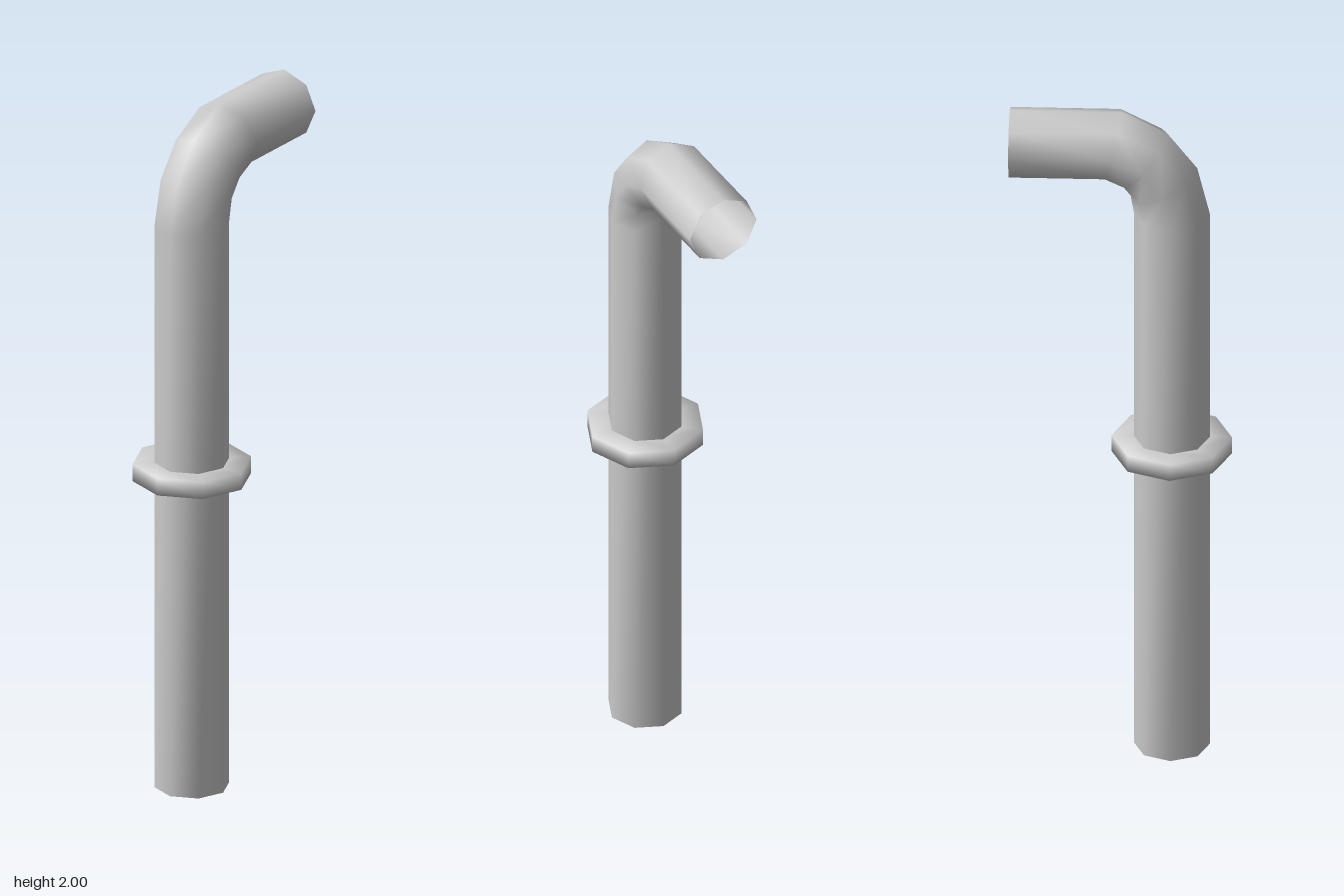
import * as THREE from 'three';

const SIDES = 8;
const RADIUS = 0.106;
const AXIS_Z = 0.142;

// Skin an open tube through rings given as [outer z, outer y, inner z, inner y]
function bentTube(rings) {
  const positions = [], index = [];
  rings.forEach(([oz, oy, iz, iy], r) => {
    for (let s = 0; s < SIDES; s++) {
      const a = (s / SIDES) * Math.PI * 2;
      const t = (1 + Math.cos(a)) / 2;
      positions.push(Math.sin(a) * RADIUS, iy + (oy - iy) * t, iz + (oz - iz) * t);
      if (r === 0) continue;
      const next = (s + 1) % SIDES;
      const lo = (r - 1) * SIDES, hi = r * SIDES;
      index.push(lo + s, lo + next, hi + next, lo + s, hi + next, hi + s);
    }
  });
  const geometry = new THREE.BufferGeometry();
  geometry.setAttribute('position', new THREE.Float32BufferAttribute(positions, 3));
  geometry.setIndex(index);
  geometry.computeVertexNormals();
  return geometry;
}

export function createModel() {
  const group = new THREE.Group();
  group.name = 'bentPipe';
  const material = new THREE.MeshStandardMaterial({ color: 0xcccccc, side: THREE.DoubleSide });

  // Upright pipe, bend and short horizontal outlet, open at both ends
  const pipe = new THREE.Mesh(bentTube([
    [0.248, 0, 0.036, 0],
    [0.248, 1.685, 0.036, 1.685],
    [0.213, 1.828, 0.027, 1.737],
    [0.132, 1.933, -0.004, 1.777],
    [0.004, 2, -0.05, 1.798],
    [-0.311, 2, -0.311, 1.798],
  ]), material);
  pipe.name = 'pipe';
  group.add(pipe);

  // Octagonal collar around the upright
  const profile = [[0.1, 0.924], [0.168, 0.924], [0.168, 0.975], [0.1, 0.975]]
    .map(([x, y]) => new THREE.Vector2(x, y));
  const collar = new THREE.Mesh(new THREE.LatheGeometry(profile, SIDES), material);
  collar.name = 'collar';
  collar.position.z = AXIS_Z;
  group.add(collar);

  return group;
}
